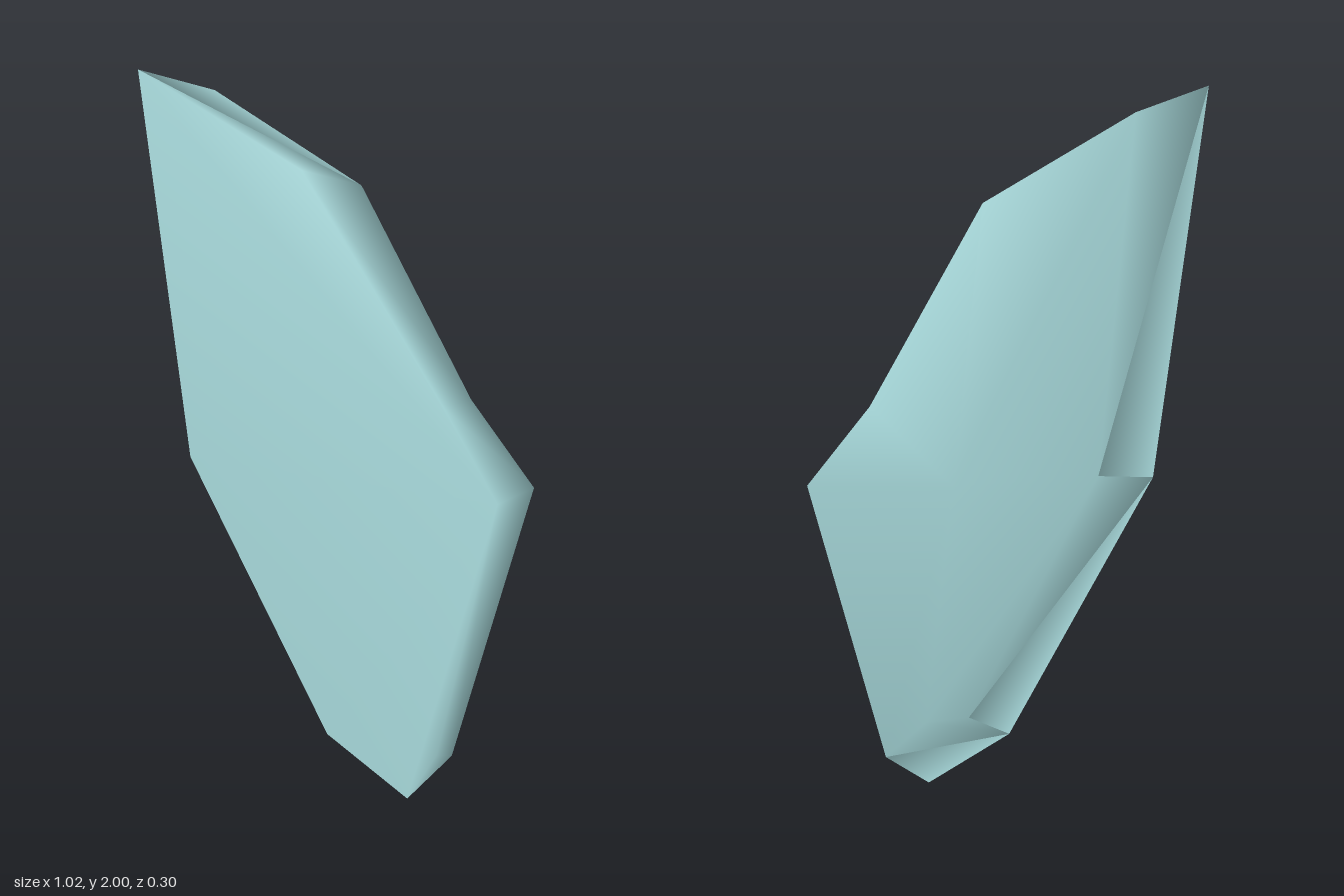
import * as THREE from 'three';

// Corners of the shard
const corners = {
  // outer rim, clockwise seen from the front
  tip: [-0.515, 2.0, -0.12], topBack: [-0.325, 1.94, -0.152],
  shoulder: [0.05, 1.71, -0.083], notch: [0.34, 1.16, 0.02],
  right: [0.51, 0.93, 0.075], lowRight: [0.31, 0.11, 0.1],
  foot: [0.185, 0.0, 0.15], lowLeft: [-0.04, 0.17, 0.085],
  left: [-0.41, 0.96, -0.052],
  // edge of the front face
  frontTop: [-0.1, 1.76, -0.04], frontNotch: [0.265, 1.16, 0.075],
  frontRight: [0.41, 0.91, 0.137], frontLow: [0.265, 0.14, 0.145],
  // edge of the back face
  backRight: [0.13, 0.96, -0.075], backLeft: [-0.255, 0.98, -0.09],
  backLowRight: [0.2, 0.24, 0.035], backLowLeft: [0.08, 0.25, 0.032],
};

// Facets, counter-clockwise seen from outside
const facets = [
  // front face
  ['frontRight', 'frontNotch', 'frontTop', 'tip', 'left', 'lowLeft', 'foot', 'frontLow'],
  // front bevels along the top and right
  ['tip', 'frontTop', 'shoulder', 'topBack'],
  ['frontTop', 'frontNotch', 'notch', 'shoulder'],
  ['frontNotch', 'frontRight', 'right', 'notch'],
  ['frontRight', 'frontLow', 'lowRight', 'right'],
  ['frontLow', 'foot', 'lowRight'],
  // back face
  ['topBack', 'shoulder', 'backRight', 'backLeft'],
  ['backLeft', 'backRight', 'backLowRight', 'backLowLeft'],
  // back bevels on the right, left and bottom
  ['shoulder', 'notch', 'backRight'],
  ['notch', 'right', 'backRight'],
  ['backRight', 'right', 'lowRight', 'backLowRight'],
  ['tip', 'topBack', 'backLeft', 'left'],
  ['left', 'backLeft', 'backLowLeft', 'lowLeft'],
  ['lowLeft', 'backLowLeft', 'backLowRight', 'lowRight', 'foot'],
];

export function createModel() {
  const names = Object.keys(corners);
  const index = [];
  for (const facet of facets) {
    const ids = facet.map((name) => names.indexOf(name));
    for (let i = 1; i < ids.length - 1; i++) index.push(ids[0], ids[i], ids[i + 1]);
  }

  // Shared corners give soft shading across the facets
  const geometry = new THREE.BufferGeometry();
  geometry.setAttribute('position', new THREE.Float32BufferAttribute(Object.values(corners).flat(), 3));
  geometry.setIndex(index);
  geometry.computeVertexNormals();

  const paleTeal = new THREE.MeshStandardMaterial({ color: 0xa8dadc });
  paleTeal.name = 'paleTeal';

  const shard = new THREE.Mesh(geometry, paleTeal);
  shard.name = 'crystalShard';

  const group = new THREE.Group();
  group.name = 'shard';
  group.add(shard);
  return group;
}
